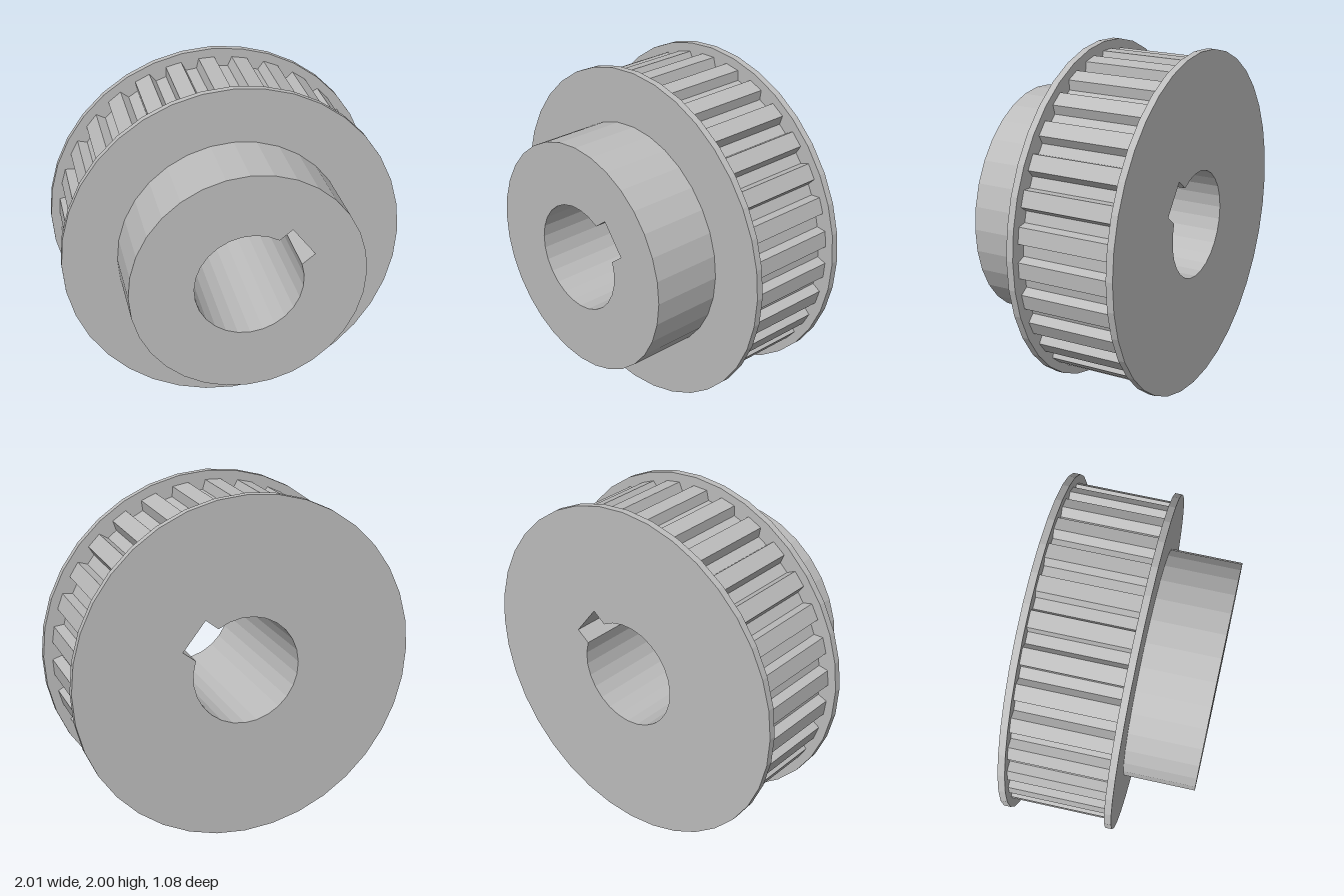
import * as THREE from 'three';

const TEETH = 30;
const BORE = 0.314;
const KEY_ANGLE = THREE.MathUtils.degToRad(38);
const KEY_HALF = 0.107;
const KEY_DEPTH = 0.39;

const polar = (r, a) => new THREE.Vector2(r * Math.cos(a), r * Math.sin(a));

function circlePoints(radius, count) {
  return Array.from({ length: count }, (_, i) => polar(radius, (i / count) * Math.PI * 2));
}

// Round bore with a rectangular keyway
function boreHole() {
  const half = Math.asin(KEY_HALF / BORE);
  const steps = 24;
  const points = [];
  for (let i = 0; i <= steps; i++) {
    points.push(polar(BORE, half + (i / steps) * (Math.PI * 2 - 2 * half)));
  }
  points.push(new THREE.Vector2(KEY_DEPTH, -KEY_HALF), new THREE.Vector2(KEY_DEPTH, KEY_HALF));
  const origin = new THREE.Vector2();
  points.forEach((p) => p.rotateAround(origin, KEY_ANGLE));
  return new THREE.Path(points);
}

// Trapezoidal grooves cut into a round rim
function toothedPoints() {
  const outer = 0.948, root = 0.892;
  const pitch = (Math.PI * 2) / TEETH;
  const start = THREE.MathUtils.degToRad(1.9);
  const topHalf = 0.0525 / outer, rootHalf = 0.032 / root;
  const points = [];
  for (let i = 0; i < TEETH; i++) {
    const a = start + i * pitch;
    points.push(
      polar(outer, a - topHalf), polar(root, a - rootHalf),
      polar(root, a + rootHalf), polar(outer, a + topHalf),
    );
  }
  return points;
}

export function createModel() {
  const steel = new THREE.MeshStandardMaterial({ color: 0xbcbcbc });
  steel.name = 'grey steel';

  const model = new THREE.Group();
  model.name = 'timingPulley';

  // Each part is a bored slice along z
  const addSlice = (name, points, back, front) => {
    const shape = new THREE.Shape(points);
    shape.holes.push(boreHole());
    const geometry = new THREE.ExtrudeGeometry(shape, { depth: front - back, bevelEnabled: false });
    geometry.translate(0, 0, back);
    const mesh = new THREE.Mesh(geometry, steel);
    mesh.name = name;
    model.add(mesh);
  };

  addSlice('backFlange', circlePoints(1, 36), -0.532, -0.492);
  addSlice('toothedRim', toothedPoints(), -0.492, 0.07);
  addSlice('frontFlange', circlePoints(1, 36), 0.07, 0.11);
  addSlice('hub', circlePoints(0.68, 32), 0.11, 0.53);

  // The pulley stands with a very slight turn
  model.position.y = 1;
  model.rotation.y = 0.009;
  return model;
}
